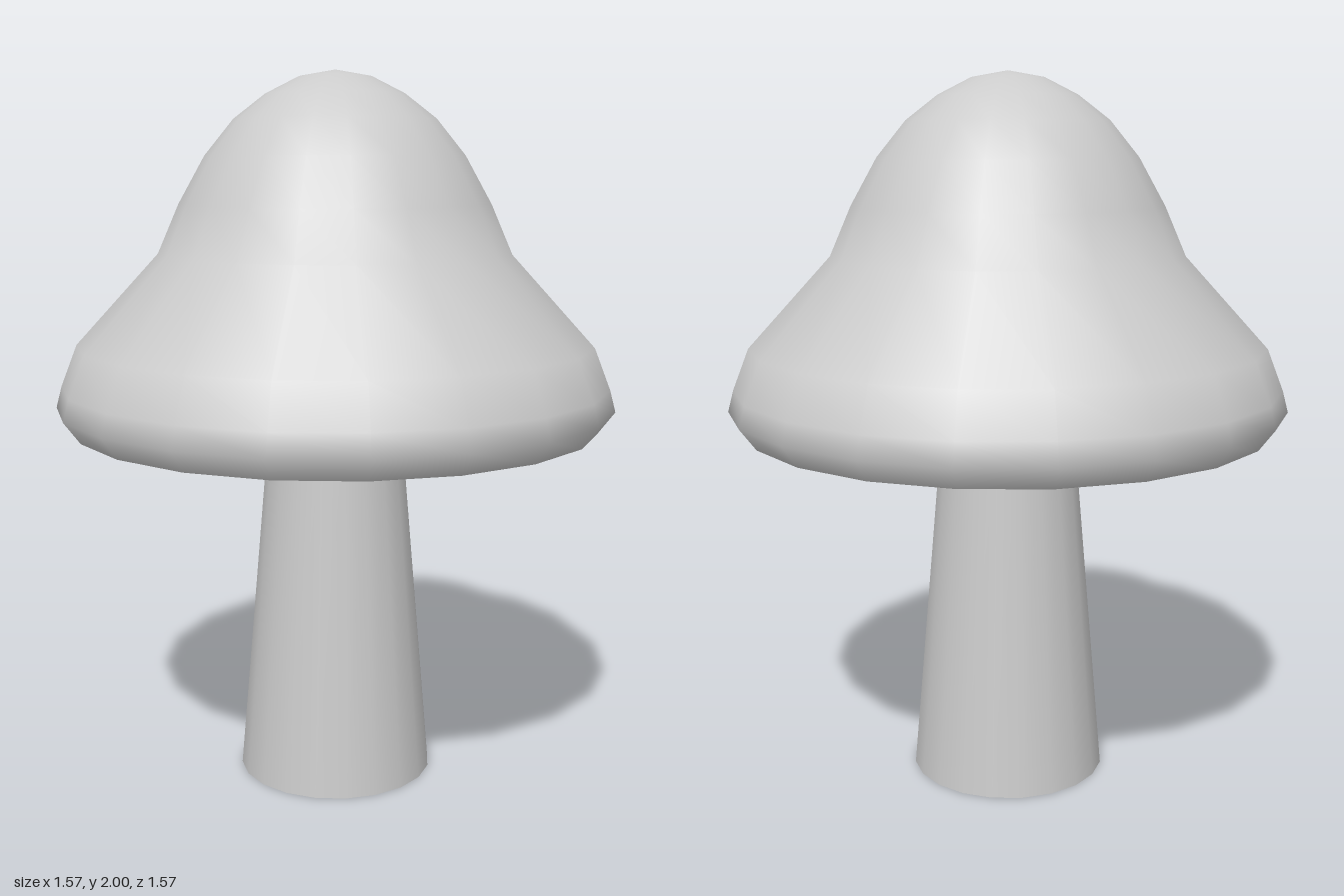
import * as THREE from 'three';

const SIDES = 20;
const UNDERSIDE_Y = 1.02;

export function createModel() {
  const group = new THREE.Group();
  group.name = 'mushroom';
  const material = new THREE.MeshStandardMaterial({ color: 0xcccccc });

  const add = (name, geometry, y = 0) => {
    const mesh = new THREE.Mesh(geometry, material);
    mesh.name = name;
    mesh.position.y = y;
    group.add(mesh);
    return mesh;
  };

  // Tapered stem, standing on the ground and meeting the cap
  add('stem', new THREE.CylinderGeometry(0.19, 0.278, UNDERSIDE_Y, SIDES), UNDERSIDE_Y / 2);

  // Bell-shaped cap: rim, flared skirt, then dome
  const profile = [
    [0.738, UNDERSIDE_Y], [0.783, 1.08], [0.767, 1.14], [0.722, 1.255],
    [0.492, 1.505], [0.433, 1.64], [0.36, 1.77], [0.28, 1.868],
    [0.193, 1.935], [0.1, 1.982], [0, 2],
  ].map(([r, y]) => new THREE.Vector2(r, y));
  add('cap', new THREE.LatheGeometry(profile, SIDES));

  // Flat underside of the cap
  const underside = new THREE.CircleGeometry(0.738, SIDES).rotateX(Math.PI / 2);
  add('capUnderside', underside, UNDERSIDE_Y);

  return group;
}
